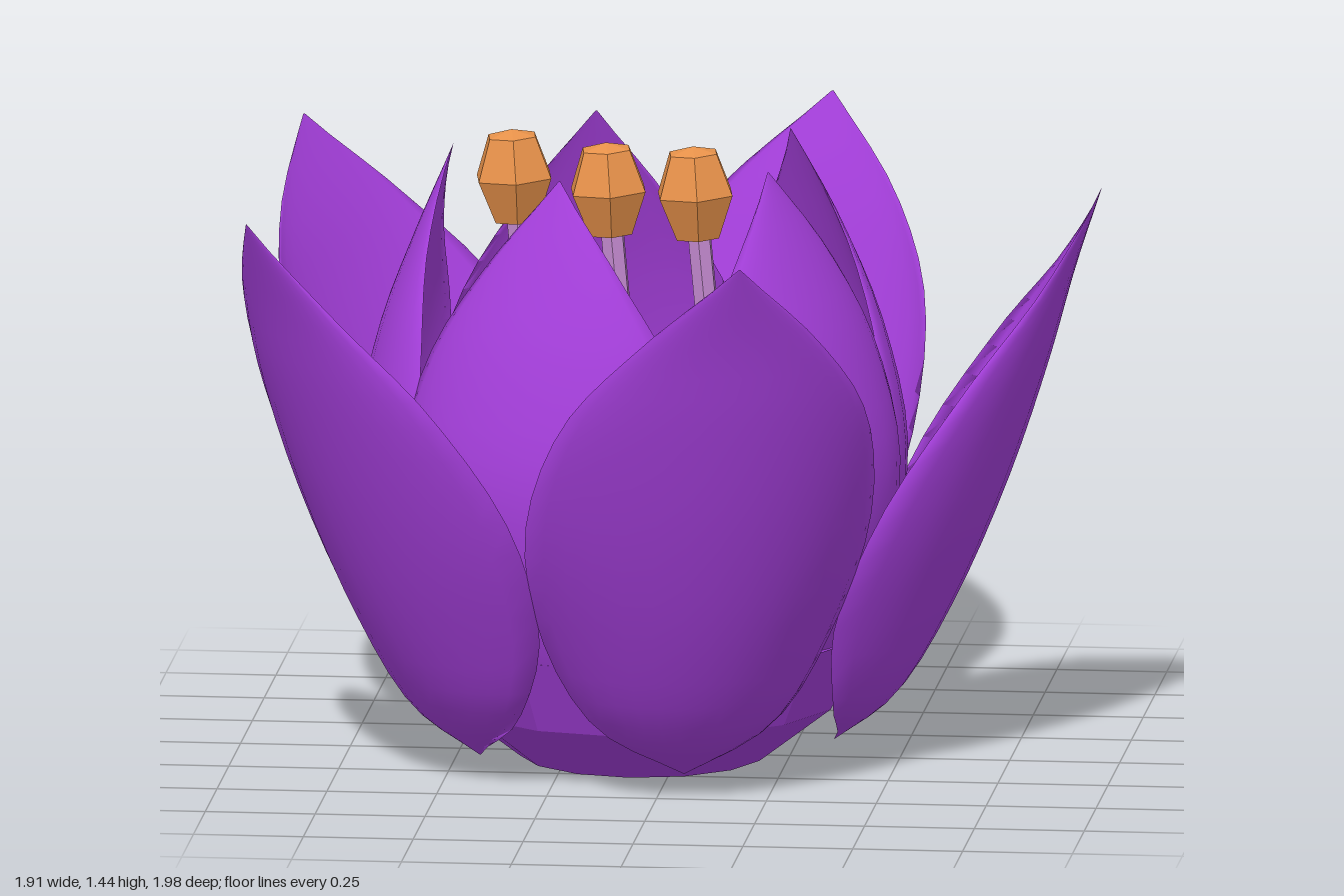
import * as THREE from 'three';

const purple = new THREE.MeshStandardMaterial({ color: 0xa53fdc, side: THREE.DoubleSide });
const purpleFlat = new THREE.MeshStandardMaterial({ color: 0xa53fdc, flatShading: true });
const orange = new THREE.MeshStandardMaterial({ color: 0xe8924a, flatShading: true });
const lilac = new THREE.MeshStandardMaterial({ color: 0xc48ad0, flatShading: true });

// Cupped petal from stations [radius, height, half width, cup depth], facing +x
function petalGeometry(stations, thickness) {
  const spine = new THREE.CatmullRomCurve3(stations.map(([r, y, w]) => new THREE.Vector3(r, y, w)));
  const cup = new THREE.SplineCurve(stations.map((s, i) => new THREE.Vector2(i, s[3])));
  const rows = 22, cols = 14, ring = cols * 2;
  const bend = 1.25;
  const positions = [], index = [];
  for (let i = 0; i <= rows; i++) {
    const v = i / rows;
    const p = spine.getPoint(v);
    const depth = Math.max(0, cup.getPoint(v).y);
    const width = Math.max(0.002, p.z);
    for (let j = 0; j < ring; j++) {
      // Outer face runs one way, inner face returns the other way
      const inside = j > cols;
      const u = inside ? 1 - 2 * (j - cols) / cols : 2 * j / cols - 1;
      const inset = inside ? thickness * (1 - u * u) * Math.sin(Math.PI * v) : 0;
      const back = depth * (1 - Math.cos(u * bend)) / (1 - Math.cos(bend));
      positions.push(p.x - back - inset, p.y, width * Math.sin(u * bend) / Math.sin(bend));
      if (i < rows) {
        const a = i * ring + j, b = i * ring + (j + 1) % ring;
        index.push(a, a + ring, b, b, a + ring, b + ring);
      }
    }
  }
  const geometry = new THREE.BufferGeometry();
  geometry.setAttribute('position', new THREE.Float32BufferAttribute(positions, 3));
  geometry.setIndex(index);
  geometry.computeVertexNormals();
  return geometry;
}

// Five petals around a centre
function whorl(name, geometry, x, z, startAngle) {
  const group = new THREE.Group();
  group.name = name + 's';
  group.position.set(x, 0, z);
  for (let k = 0; k < 5; k++) {
    const petal = new THREE.Mesh(geometry, purple);
    petal.name = name;
    petal.rotation.y = -(startAngle + k * Math.PI * 2 / 5);
    group.add(petal);
  }
  return group;
}

// Filament leaning to a faceted anther whose lower end is at (x, y, z)
function stamen(x, y, z) {
  const group = new THREE.Group();
  group.name = 'stamen';
  const path = new THREE.LineCurve3(new THREE.Vector3(x + 0.09, 0.28, z), new THREE.Vector3(x, y + 0.05, z));
  const filament = new THREE.Mesh(new THREE.TubeGeometry(path, 1, 0.028, 6), lilac);
  filament.name = 'filament';
  const profile = [[0, 0], [0.055, 0], [0.095, 0.1], [0.06, 0.195], [0, 0.21]];
  const anther = new THREE.Mesh(
    new THREE.LatheGeometry(profile.map(([r, h]) => new THREE.Vector2(r, h)), 6), orange);
  anther.name = 'anther';
  anther.position.set(x, y, z);
  anther.rotation.set(0, 0.15, 0.05);
  group.add(filament, anther);
  return group;
}

export function createModel() {
  const flower = new THREE.Group();
  flower.name = 'flower';

  // Faceted cup with a flat floor
  const cupProfile = [[0, 0], [0.28, 0], [0.45, 0.13], [0.53, 0.3], [0, 0.3]];
  const cup = new THREE.Mesh(
    new THREE.LatheGeometry(cupProfile.map(([r, y]) => new THREE.Vector2(r, y)), 14), purpleFlat);
  cup.name = 'cup';
  cup.position.x = -0.085;
  flower.add(cup);

  // Open outer petals
  const outer = petalGeometry([
    [0.43, 0.04, 0, 0], [0.58, 0.16, 0.21, 0.13], [0.71, 0.38, 0.34, 0.24], [0.83, 0.66, 0.4, 0.24],
    [0.92, 0.93, 0.35, 0.15], [0.975, 1.13, 0.21, 0.05], [1.04, 1.33, 0, 0],
  ], 0.05);
  flower.add(whorl('outerPetal', outer, -0.08, 0, 0));

  // Closed inner petals
  const inner = petalGeometry([
    [0.38, 0.1, 0, 0], [0.52, 0.24, 0.22, 0.08], [0.6, 0.45, 0.34, 0.16], [0.63, 0.7, 0.38, 0.18],
    [0.58, 0.96, 0.31, 0.13], [0.5, 1.18, 0.17, 0.05], [0.41, 1.39, 0, 0],
  ], 0.05);
  flower.add(whorl('innerPetal', inner, -0.11, -0.04, Math.PI / 5));

  // Stamens
  for (const [x, y, z] of [[-0.38, 1.21, -0.07], [-0.14, 1.235, 0.17], [0.03, 1.175, -0.09]]) {
    flower.add(stamen(x, y, z));
  }
  return flower;
}
